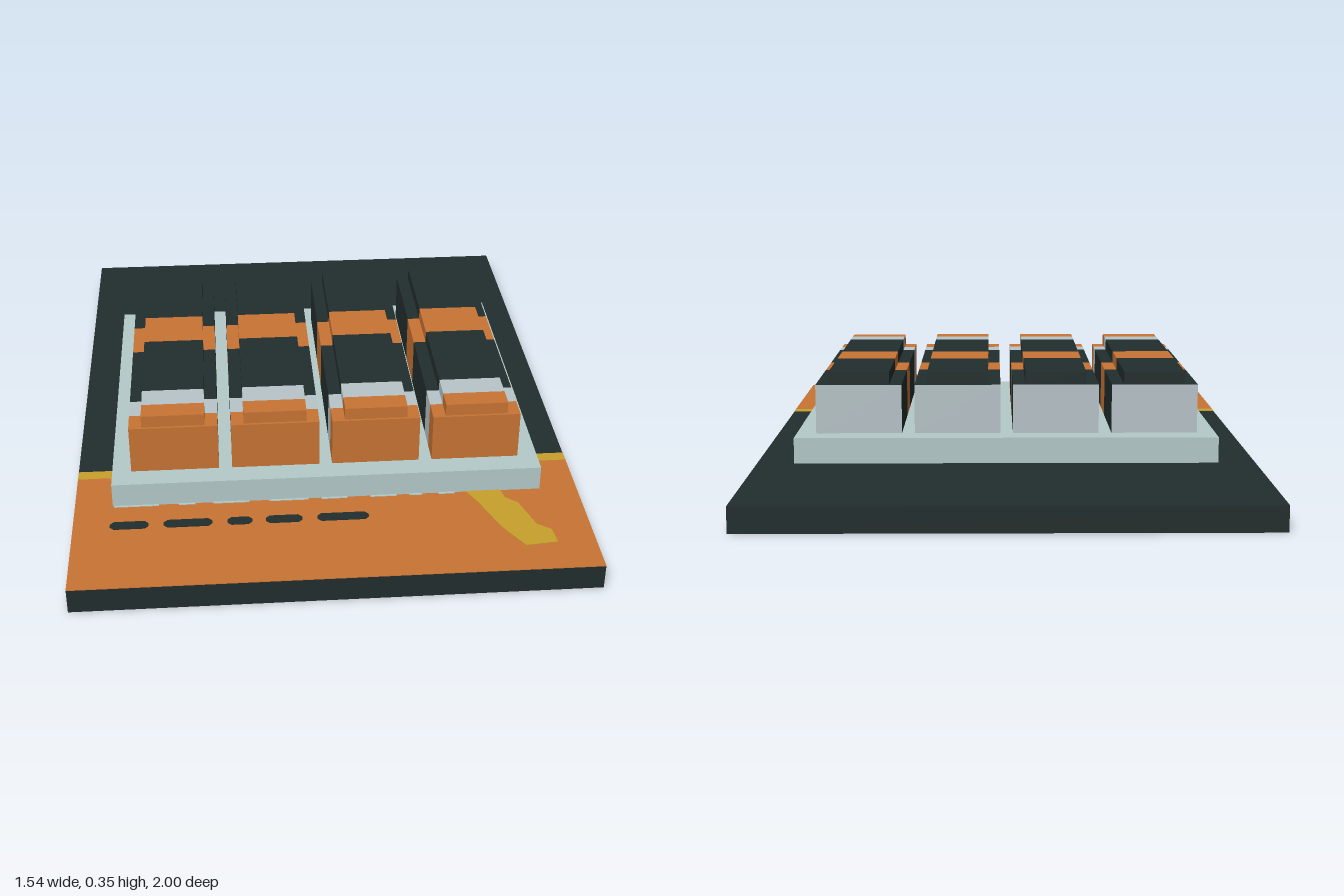
import * as THREE from 'three';

const mat = (name, color) => new THREE.MeshStandardMaterial({ name, color });

export function createModel() {
  const dark = mat('dark slate', 0x222d2d);
  const copper = mat('copper', 0xc87434);
  const pale = mat('pale grey green', 0xb4cac9);
  const silver = mat('silver', 0xb8c5c9);
  const yellow = mat('mustard', 0xc8a02c);
  const model = new THREE.Group();
  model.name = 'cellPack';

  function add(parent, name, geometry, material, x = 0, y = 0, z = 0) {
    const mesh = new THREE.Mesh(geometry, material);
    mesh.name = name;
    mesh.position.set(x, y, z);
    parent.add(mesh);
    return mesh;
  }

  // Box given by its limits along y and z
  const slab = (name, w, y0, y1, z0, z1, material) =>
    add(model, name, new THREE.BoxGeometry(w, y1 - y0, z1 - z0), material, 0, (y0 + y1) / 2, (z0 + z1) / 2);

  const BASE = 0.077, TRAY = 0.157;

  // Thin painted plate on the base from [x, z] points
  function paint(name, points, material, thickness = 0.004) {
    const shape = new THREE.Shape(points.map(([x, z]) => new THREE.Vector2(x, -z)));
    const geo = new THREE.ExtrudeGeometry(shape, { depth: thickness, bevelEnabled: false });
    add(model, name, geo.rotateX(-Math.PI / 2), material, 0, BASE);
  }

  // Base board and tray
  slab('baseBoard', 1.54, 0, BASE, -1, 1, dark);
  slab('tray', 1.31, BASE, TRAY, -0.46, 0.61, pale);

  // Painted front of the board
  slab('frontPanel', 1.54, BASE, BASE + 0.002, 0.46, 1, copper);
  slab('panelStripe', 1.54, BASE, BASE + 0.002, 0.42, 0.46, yellow);
  paint('slash', [[0.42, 0.6], [0.53, 0.6], [0.54, 0.65], [0.575, 0.68], [0.61, 0.79], [0.65, 0.82],
    [0.655, 0.88], [0.56, 0.89], [0.535, 0.85], [0.5, 0.79], [0.47, 0.71], [0.45, 0.66]], yellow);

  // Dark dashes with clipped ends
  for (const [a, b] of [[-0.66, -0.545], [-0.5, -0.355], [-0.31, -0.235], [-0.195, -0.085], [-0.04, 0.115]]) {
    const c = 0.012, z0 = 0.692, z1 = 0.728;
    paint('dash', [[a, z0 + c], [a + c, z0], [b - c, z0], [b, z0 + c],
      [b, z1 - c], [b - c, z1], [a + c, z1], [a, z1 - c]], dark);
  }

  // Pale marks peeking out in front of the tray
  for (const [a, b] of [[-0.65, -0.515], [-0.455, -0.405], [-0.35, -0.24], [-0.18, -0.06], [-0.02, 0.06], [0.13, 0.21], [0.25, 0.29], [0.34, 0.39]]) {
    paint('paleMark', [[a, 0.6], [b, 0.6], [b, 0.617], [a, 0.617]], pale);
  }

  // Open sleeve: two sides and a top between z0 and z1
  function sleeve(w, h, z0, z1) {
    const profile = [[-w / 2, 0], [-w / 2, h], [w / 2, h], [w / 2, 0]];
    const pos = [];
    for (let i = 0; i < 3; i++) {
      const [ax, ay] = profile[i], [bx, by] = profile[i + 1];
      pos.push(ax, ay, z0, ax, ay, z1, bx, by, z1, ax, ay, z0, bx, by, z1, bx, by, z0);
    }
    const geo = new THREE.BufferGeometry();
    geo.setAttribute('position', new THREE.Float32BufferAttribute(pos, 3));
    geo.computeVertexNormals();
    return geo;
  }

  // Block or ridge wrapped in colour bands, with its two end faces
  function banded(parent, name, w, h, y, back, front, backMaterial) {
    const cuts = [back, -0.08, 0.08, 0.385, 0.466, front];
    const colours = [dark, copper, dark, silver, copper];
    colours.forEach((m, i) => add(parent, name + 'Band', sleeve(w, h, cuts[i], cuts[i + 1]), m, 0, y));
    const end = new THREE.PlaneGeometry(w, h);
    add(parent, name + 'Front', end, copper, 0, y + h / 2, front);
    add(parent, name + 'Back', end, backMaterial, 0, y + h / 2, back).rotation.y = Math.PI;
  }

  // Four cells side by side
  for (const x of [-0.463, -0.155, 0.152, 0.46]) {
    const cell = new THREE.Group();
    cell.name = 'cell';
    cell.position.x = x;
    banded(cell, 'block', 0.268, 0.153, TRAY, -0.385, 0.54, silver);
    banded(cell, 'ridge', 0.19, 0.038, 0.31, -0.375, 0.532, dark);
    model.add(cell);
  }
  return model;
}
